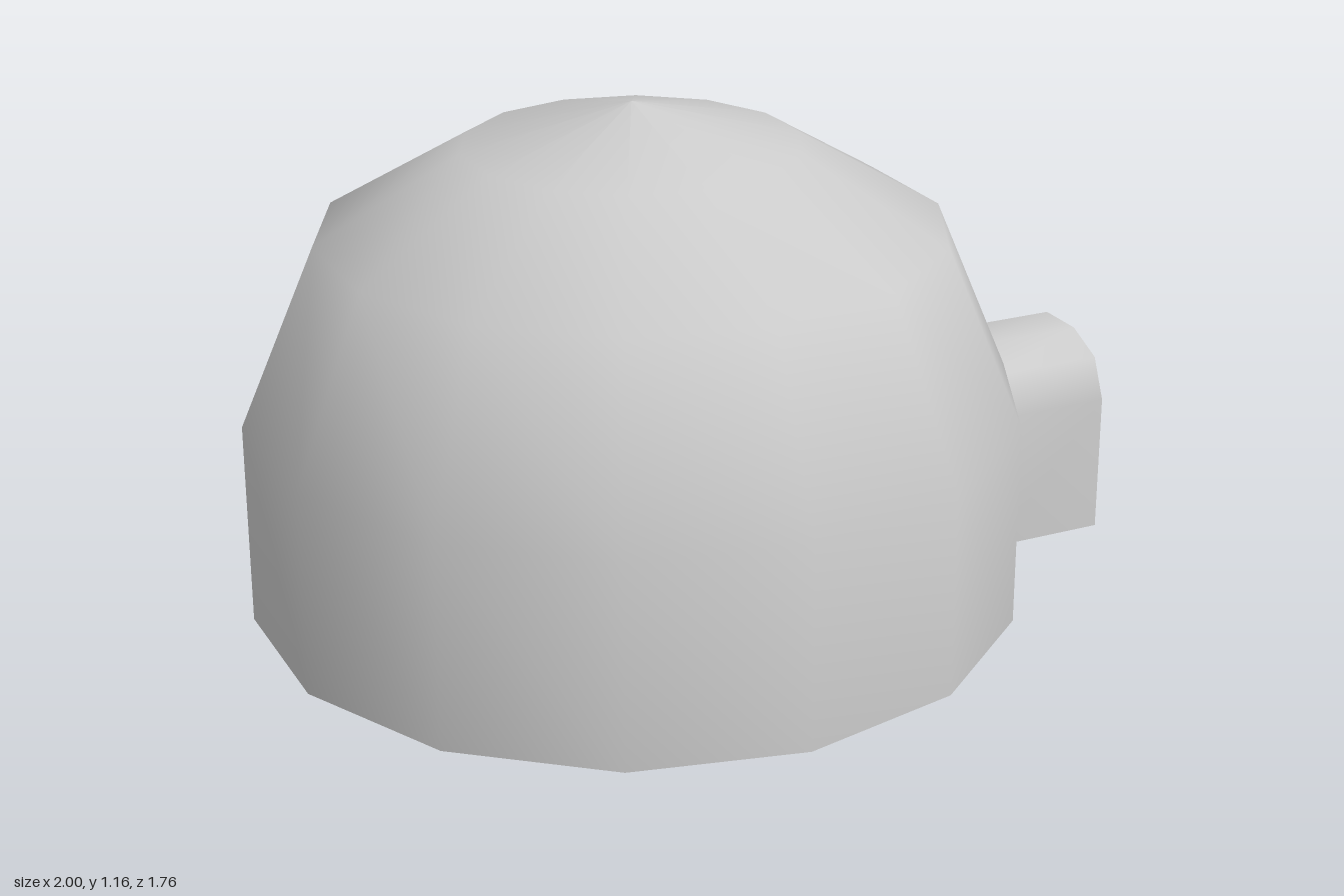
import * as THREE from 'three';

const SIDES = 14;
const CENTRE_X = -0.14;
const RADIUS = 0.88;
const WALL_TOP = 0.47;
const JOIN_X = CENTRE_X + RADIUS * Math.cos(Math.PI / SIDES); // flat dome side facing +x
const HALF_WIDTH = RADIUS * Math.sin(Math.PI / SIDES);

// Half arches (z, y) from the foot up, mirrored into full arches
const mirrorArch = (half) => [...half, ...half.slice().reverse().map(([z, y]) => [-z, y])];
const OUTER = mirrorArch([[HALF_WIDTH, 0], [HALF_WIDTH, 0.33], [0.155, 0.425], [0.06, 0.468]]);
const INNER = mirrorArch([[0.135, 0], [0.135, 0.26], [0.105, 0.345], [0.04, 0.385]]);

// Open-bottomed shell, with the wall panel behind the tunnel left out
function domeGeometry() {
  const profile = [[RADIUS, 0], [RADIUS, WALL_TOP], [0.707, 0.875], [0.38, 1.065], [0, 1.16]];
  const geometry = new THREE.LatheGeometry(profile.map(([r, y]) => new THREE.Vector2(r, y)), SIDES);
  const index = Array.from(geometry.index.array);
  const bands = profile.length - 1;
  index.splice(3 * bands * 6, 6);
  geometry.setIndex(index);
  geometry.translate(CENTRE_X, 0, 0);
  return geometry;
}

// Arch cross-sections joined outside, around the mouth and back along the inside
function tunnelGeometry() {
  const rings = [[OUTER, JOIN_X], [OUTER, 1], [INNER, 1], [INNER, JOIN_X]];
  const n = OUTER.length;
  const positions = [];
  const index = [];
  for (const [arch, x] of rings) for (const [z, y] of arch) positions.push(x, y, z);
  for (let r = 0; r < rings.length - 1; r++) {
    for (let i = 0; i < n - 1; i++) {
      const a = r * n + i;
      const b = a + n;
      index.push(a, b, b + 1, a, b + 1, a + 1);
    }
  }
  const geometry = new THREE.BufferGeometry();
  geometry.setAttribute('position', new THREE.Float32BufferAttribute(positions, 3));
  geometry.setIndex(index);
  geometry.computeVertexNormals();
  return geometry;
}

// Dome panel around the tunnel's inner arch
function collarGeometry() {
  const outline = [[-HALF_WIDTH, 0], [-HALF_WIDTH, WALL_TOP], [HALF_WIDTH, WALL_TOP], [HALF_WIDTH, 0], ...INNER];
  const shape = new THREE.Shape(outline.map(([z, y]) => new THREE.Vector2(z, y)));
  return new THREE.ShapeGeometry(shape).rotateY(Math.PI / 2).translate(JOIN_X, 0, 0);
}

export function createModel() {
  const group = new THREE.Group();
  group.name = 'igloo';
  const material = new THREE.MeshStandardMaterial({ color: 0xcccccc, side: THREE.DoubleSide });
  const add = (name, geometry) => {
    const mesh = new THREE.Mesh(geometry, material);
    mesh.name = name;
    group.add(mesh);
  };

  add('dome', domeGeometry());
  add('entranceTunnel', tunnelGeometry());
  add('entranceCollar', collarGeometry());

  // Undersides of the two tunnel walls
  const inner = INNER[0][0];
  for (const side of [1, -1]) {
    const foot = new THREE.PlaneGeometry(1 - JOIN_X, HALF_WIDTH - inner).rotateX(Math.PI / 2);
    foot.translate((1 + JOIN_X) / 2, 0, side * (HALF_WIDTH + inner) / 2);
    add(side > 0 ? 'tunnelFootFront' : 'tunnelFootBack', foot);
  }
  return group;
}
